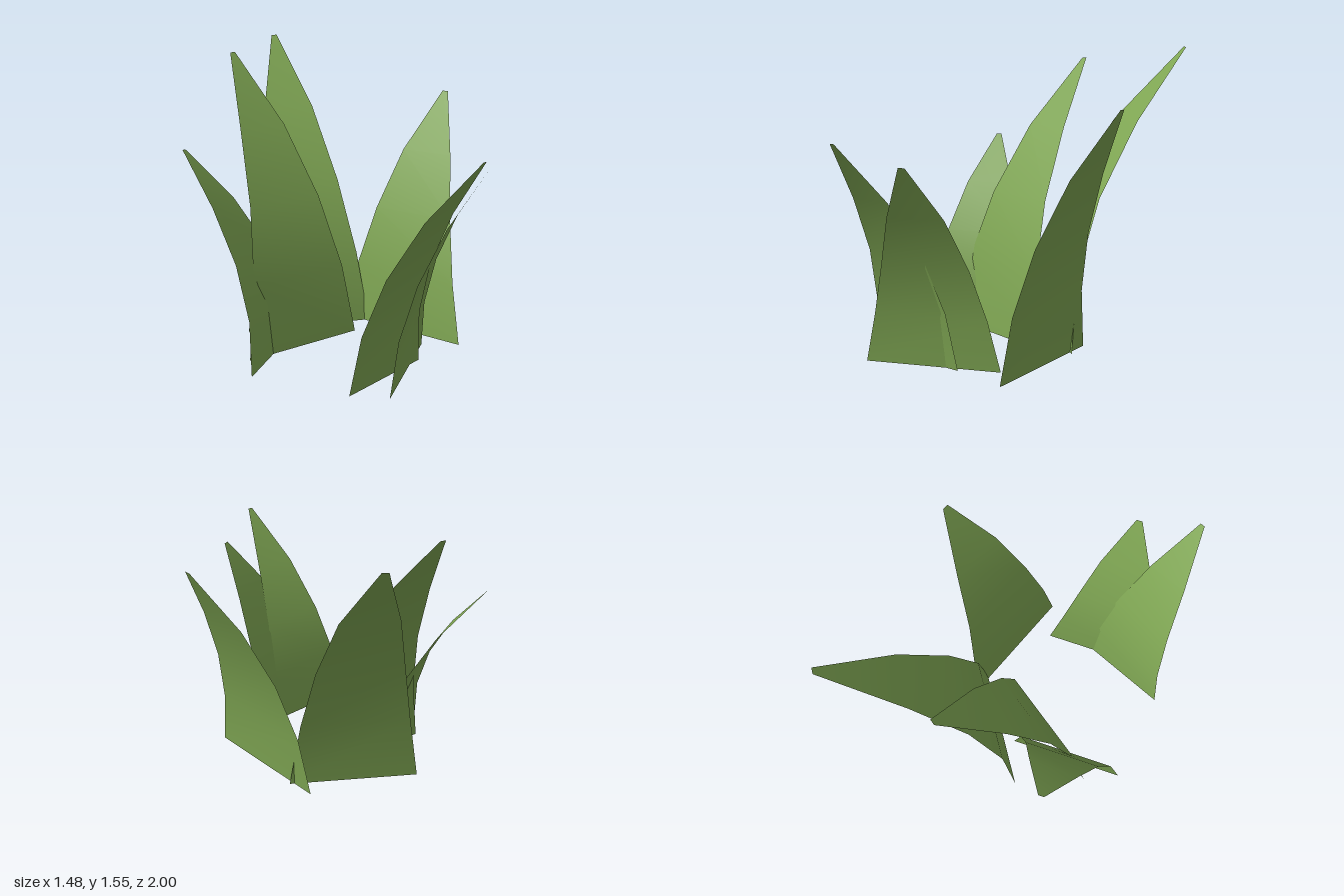
import * as THREE from 'three';

const SEGMENTS = 4;

// One blade: a tapering strip that leans along +z by a parabola.
function bladeGeometry(halfWidth, height, lean) {
  const geo = new THREE.PlaneGeometry(2, 1, 1, SEGMENTS);
  const pos = geo.attributes.position;
  for (let i = 0; i < pos.count; i++) {
    const t = pos.getY(i) + 0.5;
    const taper = Math.max(0.045, Math.pow(Math.max(0, 1 - t), 0.65));
    pos.setXYZ(i, pos.getX(i) * halfWidth * taper, height * t, lean * t * t);
  }
  geo.computeVertexNormals();
  return geo;
}

export function createModel() {
  const group = new THREE.Group();
  group.name = 'grassTuft';
  const material = new THREE.MeshStandardMaterial({ color: 0x7fa653, side: THREE.DoubleSide });

  // Base centre, horizontal lean direction, half width, height, lean distance
  const blades = [
    { name: 'backBlade', x: -0.06, z: -0.21, dir: [0, -1], w: 0.345, h: 1.55, lean: 0.79 },
    { name: 'backRightBlade', x: -0.16, z: 0.057, dir: [-0.363, -0.932], w: 0.341, h: 1.49, lean: 0.65 },
    { name: 'leftBlade', x: 0.402, z: -0.015, dir: [0.809, -0.588], w: 0.371, h: 1.275, lean: 0.413 },
    { name: 'frontBlade', x: 0.112, z: 0.565, dir: [0.555, 0.832], w: 0.279, h: 1.13, lean: 0.51 },
    { name: 'frontLeftBlade', x: 0.243, z: 0.51, dir: [0.833, 0.553], w: 0.348, h: 1.03, lean: 0.366 },
    { name: 'rightBlade', x: -0.334, z: 0.113, dir: [-0.835, -0.55], w: 0.32, h: 1.04, lean: 0.475 },
  ];

  for (const b of blades) {
    const mesh = new THREE.Mesh(bladeGeometry(b.w, b.h, b.lean), material);
    mesh.name = b.name;
    mesh.position.set(b.x, 0, b.z);
    mesh.rotation.y = Math.atan2(b.dir[0], b.dir[1]);
    group.add(mesh);
  }
  return group;
}
